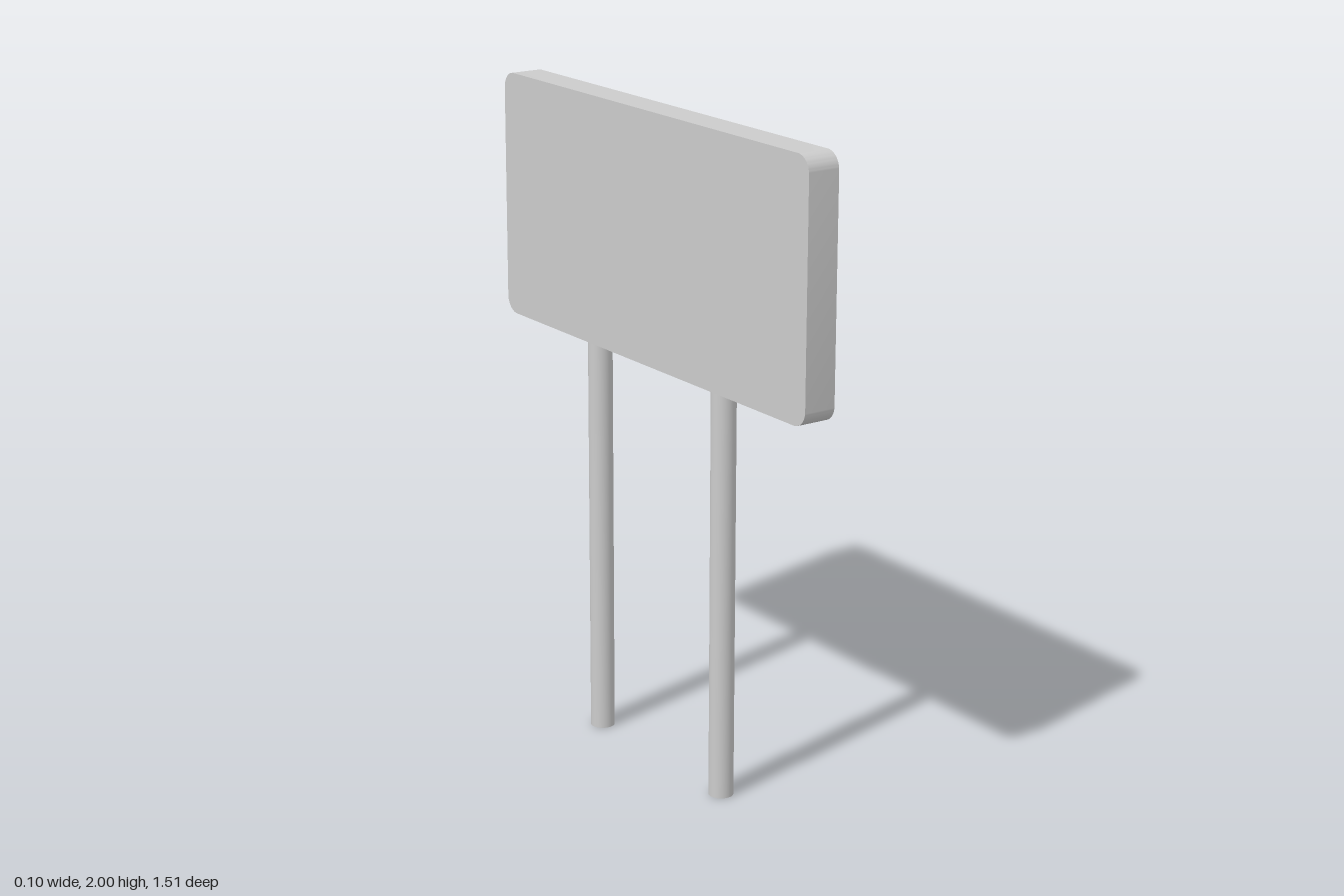
import * as THREE from 'three';
import { toCreasedNormals } from 'three/addons/utils/BufferGeometryUtils.js';

const WIDTH = 1.51, HEIGHT = 0.75, THICKNESS = 0.1, CORNER = 0.05, BOTTOM = 1.25;
const POST_RADIUS = 0.037, POST_OFFSET = 0.315;

// Rectangle with rounded corners, centred on the origin
function roundedRect(w, h, r) {
  const x = w / 2, y = h / 2, s = new THREE.Shape();
  s.absarc(x - r, y - r, r, 0, Math.PI / 2);
  s.absarc(-x + r, y - r, r, Math.PI / 2, Math.PI);
  s.absarc(-x + r, -y + r, r, Math.PI, Math.PI * 1.5);
  s.absarc(x - r, -y + r, r, Math.PI * 1.5, Math.PI * 2);
  s.closePath();
  return s;
}

export function createModel() {
  const group = new THREE.Group();
  group.name = 'signboard';
  const material = new THREE.MeshStandardMaterial({ color: 0xcccccc });
  const tubeMaterial = new THREE.MeshStandardMaterial({ color: 0xcccccc, side: THREE.DoubleSide });

  // Board: rounded slab whose broad faces look along x
  const slab = new THREE.ExtrudeGeometry(roundedRect(WIDTH, HEIGHT, CORNER), {
    depth: THICKNESS, bevelEnabled: false, curveSegments: 8,
  });
  slab.translate(0, 0, -THICKNESS / 2).rotateY(Math.PI / 2);
  const board = new THREE.Mesh(toCreasedNormals(slab, 0.6), material);
  board.name = 'board';
  board.position.y = BOTTOM + HEIGHT / 2;
  group.add(board);

  // Posts: open-ended tubes reaching up to the underside of the board
  const tube = new THREE.CylinderGeometry(POST_RADIUS, POST_RADIUS, BOTTOM, 32, 1, true);
  for (const [name, side] of [['frontPost', 1], ['backPost', -1]]) {
    const post = new THREE.Mesh(tube, tubeMaterial);
    post.name = name;
    post.position.set(0, BOTTOM / 2, side * POST_OFFSET);
    group.add(post);
  }
  return group;
}
